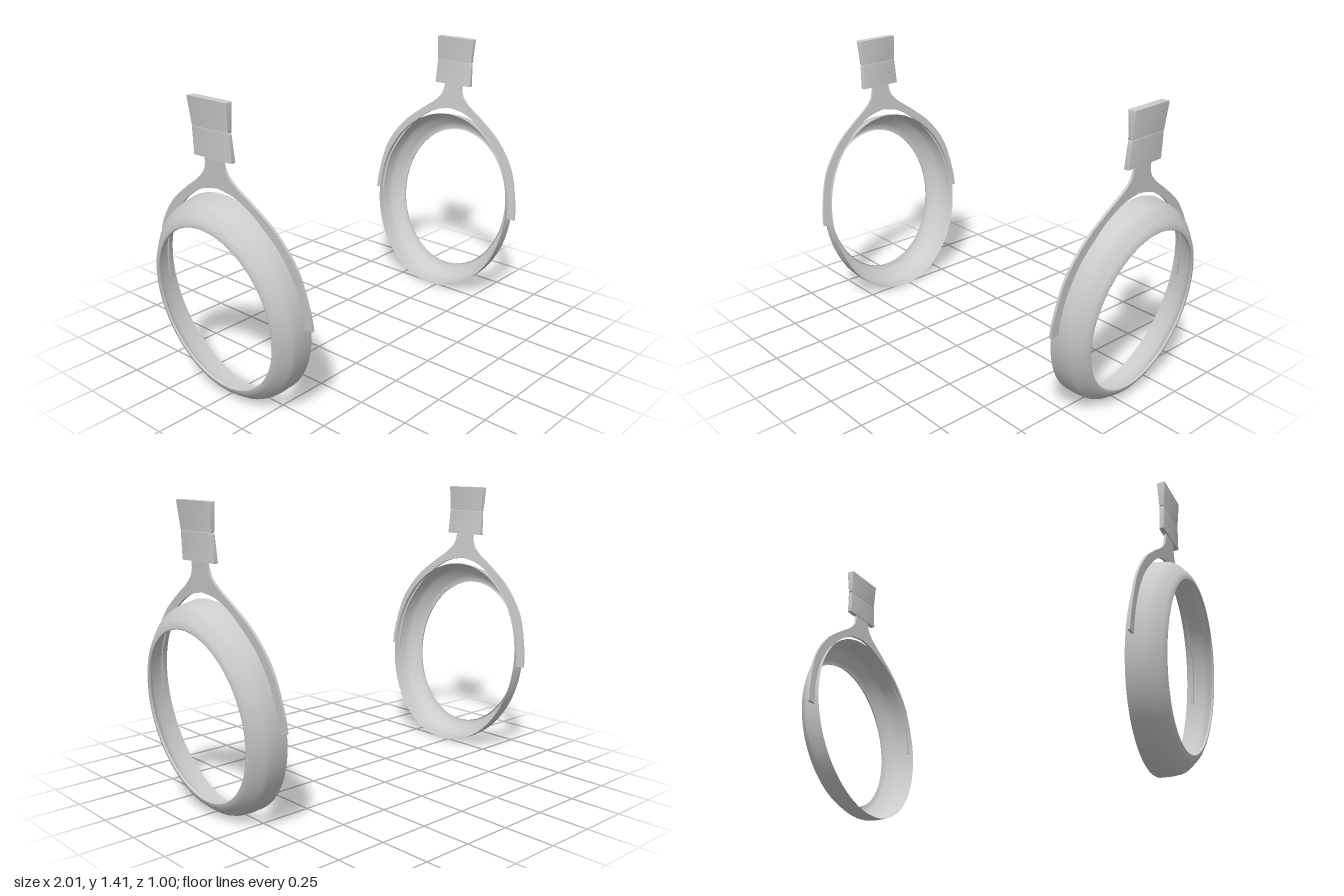
import * as THREE from 'three';
import { toCreasedNormals } from 'three/addons/utils/BufferGeometryUtils.js';

const grey = new THREE.MeshStandardMaterial({ color: 0xcccccc });
const shellGrey = new THREE.MeshStandardMaterial({ color: 0xcccccc, side: THREE.DoubleSide });
const deg = THREE.MathUtils.degToRad;
const v2 = ([a, b]) => new THREE.Vector2(a, b);

function part(name, geometry, material = grey) {
  const mesh = new THREE.Mesh(geometry, material);
  mesh.name = name;
  return mesh;
}

// Places a part's frame: local x points outward, y up, z along the cup's width
function frame(name, x, y, z, tilt, yaw) {
  const g = new THREE.Group();
  g.name = name;
  g.position.set(x, y, z);
  g.rotation.set(0, deg(yaw), deg(-tilt), 'YXZ');
  return g;
}

// Oval open shell: a lathe about the outward axis, squeezed in width
function cupGeometry() {
  const profile = [
    [0.497, 0], [0.493, 0.05], [0.486, 0.086], [0.478, 0.102], [0.463, 0.118],
    [0.437, 0.143], [0.42, 0.152], [0.404, 0.157], [0.399, 0.155], [0.398, 0.147],
  ].map(v2);
  const geo = new THREE.LatheGeometry(profile, 96);
  geo.rotateZ(-Math.PI / 2);
  geo.scale(1, 1, 0.425 / 0.497);
  return geo;
}

// Flat fork: outer and inner curves on one side, mirrored to the other
function yokeGeometry() {
  const outer = [[0.467, 0], [0.458, 0.1], [0.412, 0.275], [0.317, 0.413], [0.205, 0.507],
    [0.111, 0.574], [0.064, 0.627], [0.052, 0.69]].map(v2);
  const inner = [[0.414, 0], [0.404, 0.113], [0.373, 0.226], [0.297, 0.357], [0.205, 0.458],
    [0.1, 0.523], [0, 0.545]].map(v2);
  const mirror = (pts) => pts.map((p) => new THREE.Vector2(-p.x, p.y)).reverse();
  const o = new THREE.SplineCurve(outer).getPoints(40);
  const i = new THREE.SplineCurve(inner).getPoints(32);
  const outline = [...o, ...mirror(o), ...mirror(i).reverse(), ...i.slice(0, -1).reverse()];
  const geo = new THREE.ExtrudeGeometry(new THREE.Shape(outline), { depth: 0.012, bevelEnabled: false });
  geo.translate(0, 0, -0.006);
  geo.rotateY(-Math.PI / 2);
  return toCreasedNormals(geo, deg(35));
}

// Slider block: side profile extruded across the width, narrowing towards the waist
function blockGeometry(profile, waistY) {
  const bevel = 0.004;
  const width = 0.226;
  const geo = new THREE.ExtrudeGeometry(new THREE.Shape(profile.map(v2)), {
    depth: width - 2 * bevel, bevelSize: bevel, bevelThickness: bevel, bevelOffset: -bevel, bevelSegments: 3,
  });
  geo.translate(0, 0, bevel - width / 2);
  const p = geo.attributes.position;
  for (let k = 0; k < p.count; k++) {
    const s = 0.95 + 0.4 * Math.min(0.125, Math.abs(p.getY(k) - waistY));
    p.setZ(k, p.getZ(k) * s);
  }
  return toCreasedNormals(geo, deg(35));
}

function earSide(name) {
  const side = new THREE.Group();
  side.name = name;

  const cup = frame('earCup', 0.795, 0.498, -0.033, 7.5, 2.4);
  cup.add(part('cupShell', cupGeometry(), shellGrey));

  const yoke = frame('yoke', 0.824, 0.48, -0.033, 6, 2.4);
  yoke.add(part('yokeFork', yokeGeometry()));

  const slider = frame('slider', 0.896, 1.155, -0.037, 0, 2.4);
  slider.add(part('lowerSliderBlock',
    blockGeometry([[-0.012, 0], [0.011, 0], [0.019, 0.126], [-0.003, 0.126]], 0.126)));
  slider.add(part('upperSliderBlock',
    blockGeometry([[-0.003, 0.128], [0.019, 0.128], [0.034, 0.257], [-0.005, 0.257]], 0.126)));

  side.add(cup, yoke, slider);
  return side;
}

export function createModel() {
  const model = new THREE.Group();
  model.name = 'headphoneCups';
  // The second side is the first turned half round
  const left = earSide('leftSide');
  const right = earSide('rightSide');
  right.rotation.y = Math.PI;
  model.add(left, right);
  return model;
}
